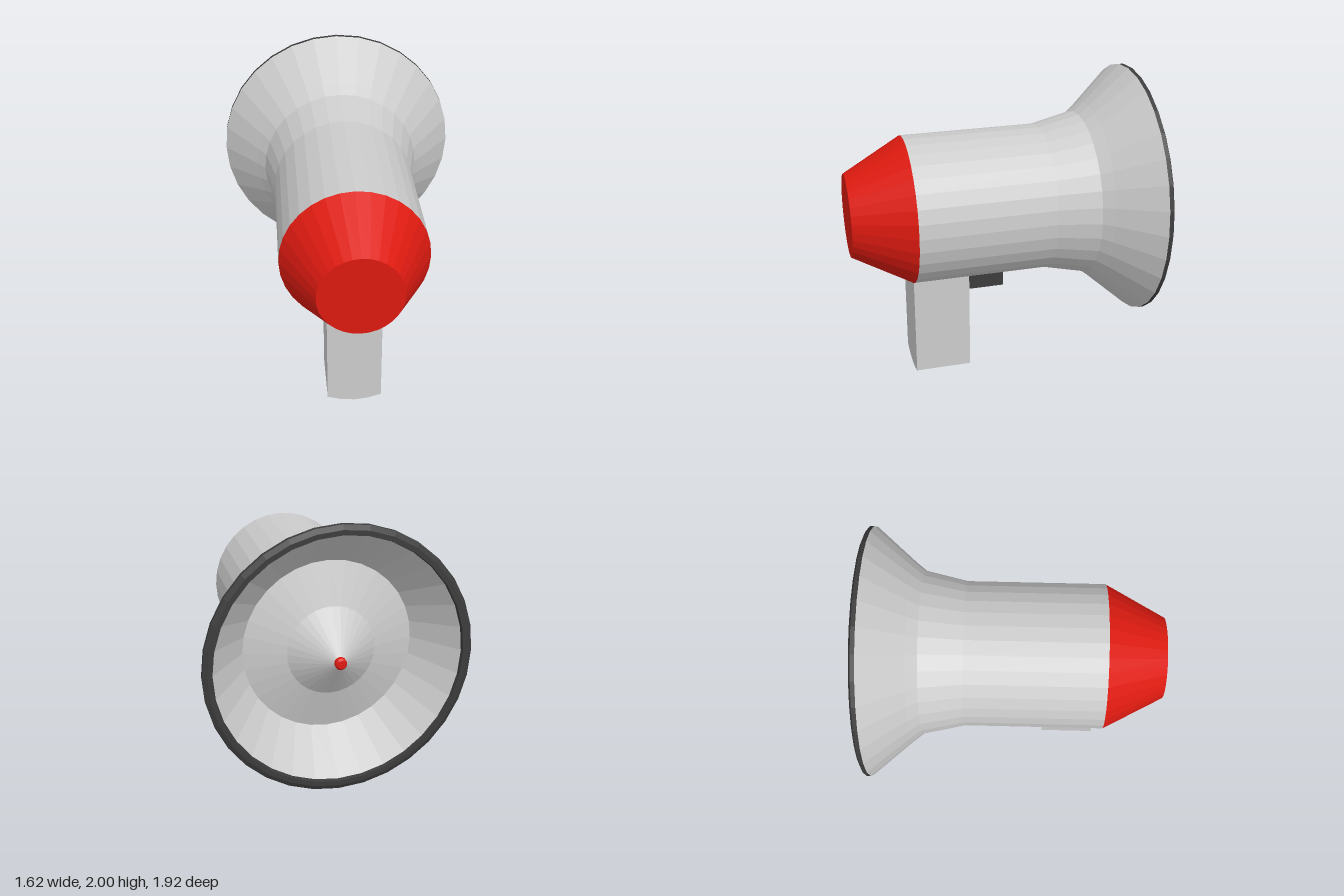
import * as THREE from 'three';

const AXIS_Y = 1.167;   // height of the horn's axis
const SQUASH = 0.97;    // horn is slightly narrower than tall
const SIDES = 32;

function material(color) {
  return new THREE.MeshStandardMaterial({ color, flatShading: true });
}
const grey = material(0xcccccc);
const red = material(0xdd1a10);
const dark = material(0x3c3c3c);

// Part turned around the z axis; profile of [radius, z] runs from back to front
function turned(name, profile, mat) {
  const points = profile.map(([r, z]) => new THREE.Vector2(r, z));
  const geometry = new THREE.LatheGeometry(points, SIDES);
  geometry.rotateX(Math.PI / 2);
  geometry.scale(SQUASH, 1, 1);
  const mesh = new THREE.Mesh(geometry, mat);
  mesh.name = name;
  mesh.position.y = AXIS_Y;
  return mesh;
}

// Block hanging under the body, its bottom bulging down in the middle
function hangingBlock(name, halfWidth, top, bottom, zBack, zFront, sag, steps, mat) {
  const shape = new THREE.Shape();
  shape.moveTo(halfWidth, top);
  shape.lineTo(-halfWidth, top);
  for (let i = 0; i <= steps; i++) {
    const t = -1 + (2 * i) / steps;
    shape.lineTo(t * halfWidth, bottom + sag * t * t);
  }
  const geometry = new THREE.ExtrudeGeometry(shape, { depth: zFront - zBack, bevelEnabled: false });
  geometry.translate(0, 0, zBack);
  const mesh = new THREE.Mesh(geometry, mat);
  mesh.name = name;
  return mesh;
}

export function createModel() {
  const group = new THREE.Group();
  group.name = 'megaphone';

  // Hollow of the bell with the pointed cone at its centre
  group.add(turned('bellInside', [
    [0, -0.95], [0.28, -0.74], [0.54, -0.66], [0.77, -0.93],
  ], grey));

  // Dark bevelled ring around the mouth
  group.add(turned('rim', [
    [0.77, -0.93], [0.775, -0.953], [0.805, -0.953], [0.834, -0.938], [0.834, -0.912],
  ], dark));

  // Flared bell and straight body
  group.add(turned('body', [
    [0.834, -0.912], [0.60, -0.652], [0.546, -0.585], [0.484, -0.315], [0.484, 0.573],
  ], grey));

  // Tapered cap closing the front end
  group.add(turned('endCap', [[0.484, 0.573], [0.272, 0.957], [0, 0.957]], red));

  // Small button on the tip of the inner cone
  group.add(turned('tipButton', [
    [0, -0.96], [0.025, -0.96], [0.036, -0.95], [0.036, -0.925],
  ], red));

  // Grip and trigger
  group.add(hangingBlock('handle', 0.18, 0.74, 0, 0.2, 0.571, 0.037, 4, grey));
  group.add(hangingBlock('trigger', 0.09, 0.74, 0.562, -0.055, 0.2, 0.009, 2, dark));

  return group;
}
